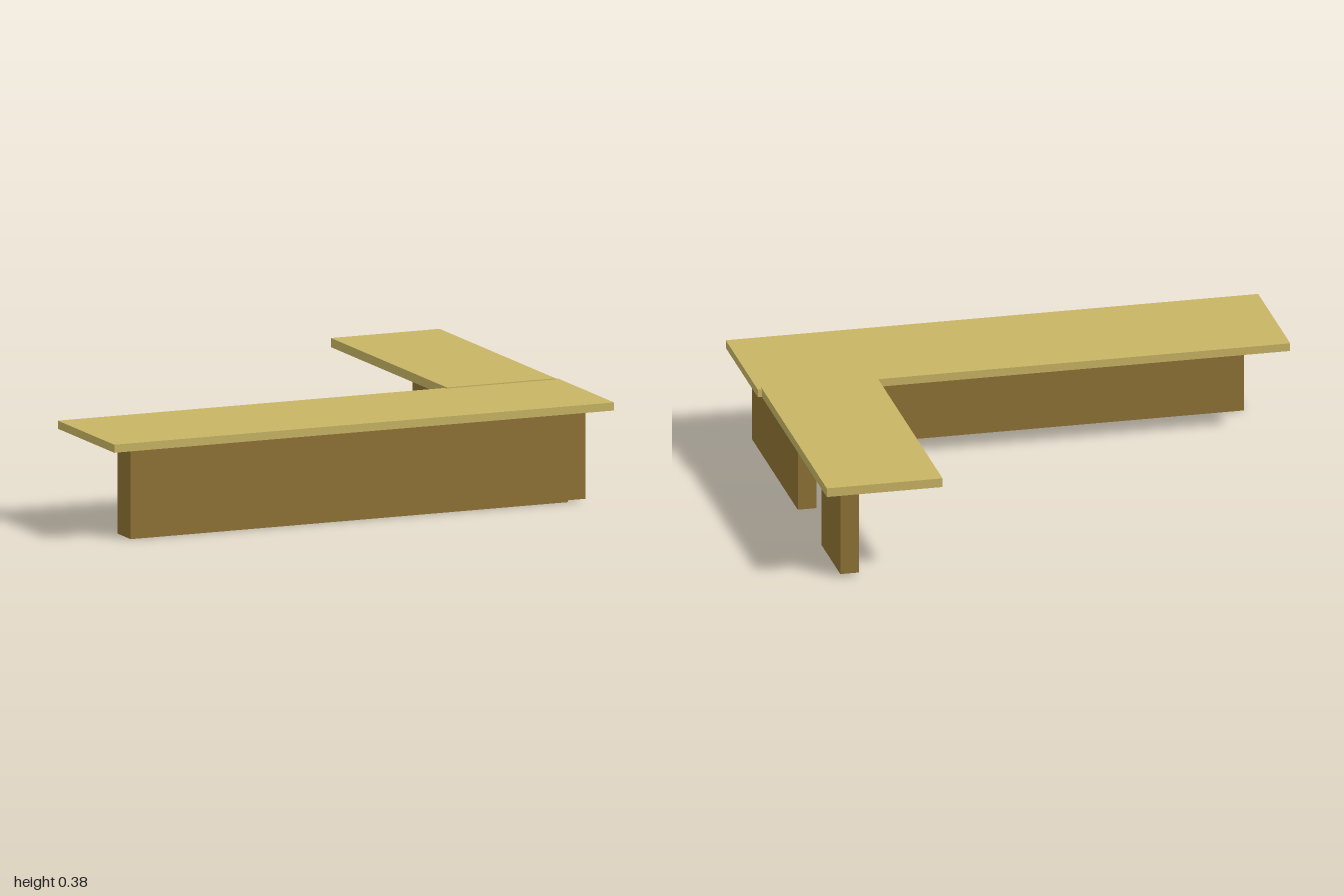
import * as THREE from 'three';

export function createModel() {
  const desk = new THREE.Group();
  desk.name = 'cornerDesk';

  const topWood = new THREE.MeshStandardMaterial({ color: 0xc8b464 });
  topWood.name = 'light wood';
  const panelWood = new THREE.MeshStandardMaterial({ color: 0x8f7235 });
  panelWood.name = 'brown wood';

  // Box given by its extents along each axis
  function board(name, material, [x0, x1], [y0, y1], [z0, z1]) {
    const mesh = new THREE.Mesh(new THREE.BoxGeometry(x1 - x0, y1 - y0, z1 - z0), material);
    mesh.position.set((x0 + x1) / 2, (y0 + y1) / 2, (z0 + z1) / 2);
    mesh.name = name;
    desk.add(mesh);
  }

  const under = 0.343; // underside of the tops

  // Two overlapping tops, the return slightly thicker
  board('mainTop', topWood, [-1, 1], [under, 0.373], [0.26, 0.767]);
  board('returnTop', topWood, [0.55, 0.985], [under, 0.377], [-0.767, 0.275]);

  // Supports: front panel, side panel and the leg under the return
  board('frontPanel', panelWood, [-0.9, 0.85], [0, under], [0.57, 0.69]);
  board('sidePanel', panelWood, [0.85, 0.92], [0.007, under], [-0.035, 0.69]);
  board('returnLeg', panelWood, [0.85, 0.92], [0.012, under], [-0.708, -0.41]);

  return desk;
}
